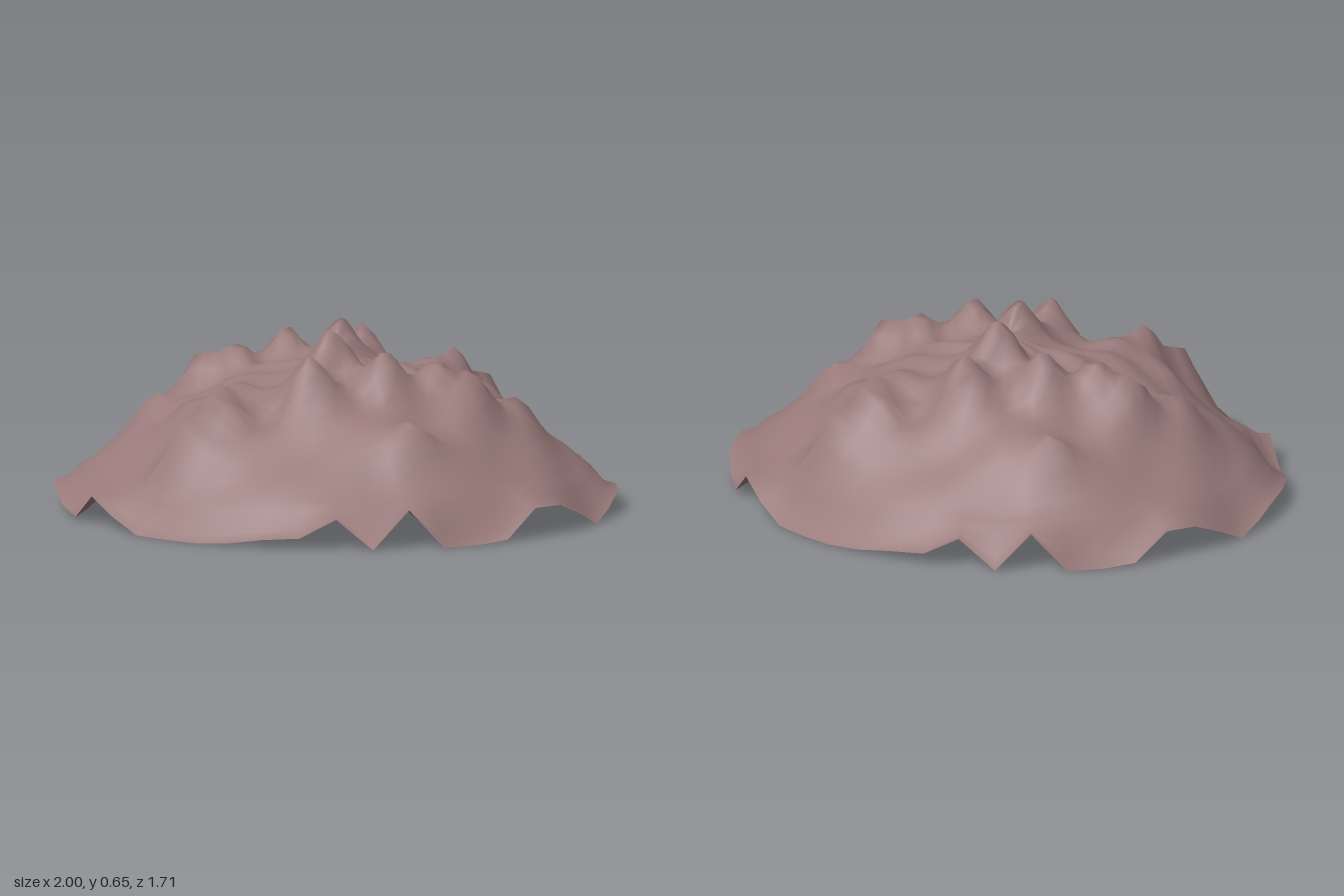
import * as THREE from 'three';

const SEGMENTS = 48, RINGS = 22, DEPTH = 0.857;

// Summits as [x, z, height]; each one repeats after a half turn
const PEAKS = [
  [0, -0.11, 0.655], [-0.2, -0.22, 0.59], [0.05, -0.32, 0.59], [-0.37, -0.11, 0.55],
  [-0.52, -0.1, 0.5], [0.3, -0.28, 0.49], [0.35, -0.43, 0.5], [0.46, -0.53, 0.38],
  [0.65, -0.07, 0.38], [0.5, -0.27, 0.41], [0.36, 0.5, 0.4],
];

// Height of the ragged hem over half a turn
const HEM = [0.065, 0.035, 0, 0.056, 0.105, 0.11, 0.01, 0, 0, 0.14, 0, 0.11,
  0.04, 0.03, 0.01, 0, 0, 0, 0.05, 0.105, 0.01, 0.03, 0.06, 0.065];

const dome = (r) => 0.03 + 0.49 * (1 - r * r);

// Smooth dome plus summits, swirling folds and the wavy hem
function heightAt(r, j) {
  const angle = (j / SEGMENTS) * Math.PI * 2;
  const x = r * Math.cos(angle), z = r * DEPTH * Math.sin(angle);
  let y = dome(r);
  for (const [px, pz, top] of PEAKS) {
    const rise = top - dome(Math.hypot(px, pz / DEPTH));
    for (const s of [1, -1]) {
      const d2 = (x - s * px) ** 2 + (z - s * pz) ** 2;
      y += rise * Math.exp(-d2 / 0.0055);
    }
  }
  y += 0.018 * Math.sin(6 * angle + 11 * r) * Math.sin(Math.PI * r);
  y += 0.012 * Math.sin(10 * angle - 17 * r) * Math.sin(Math.PI * r);
  // The last stretch stays lifted, then drops to the hem
  y += 0.06 * Math.exp(-(((r - 0.94) / 0.05) ** 2)) * (1 - THREE.MathUtils.smoothstep(r, 0.94, 1));
  const t = THREE.MathUtils.smoothstep(r, 0.8, 1);
  return THREE.MathUtils.lerp(y, HEM[j % HEM.length], t * t);
}

function moundGeometry() {
  const positions = [0, heightAt(0, 0), 0];
  const index = [];
  const at = (i, j) => (i === 0 ? 0 : 1 + (i - 1) * SEGMENTS + (j % SEGMENTS));
  for (let i = 1; i <= RINGS; i++) {
    const r = i / RINGS;
    for (let j = 0; j < SEGMENTS; j++) {
      const angle = (j / SEGMENTS) * Math.PI * 2;
      positions.push(r * Math.cos(angle), heightAt(r, j), r * DEPTH * Math.sin(angle));
    }
  }
  for (let i = 0; i < RINGS; i++) {
    for (let j = 0; j < SEGMENTS; j++) {
      const a = at(i, j), b = at(i + 1, j), c = at(i + 1, j + 1), d = at(i, j + 1);
      index.push(a, c, b);
      if (i > 0) index.push(a, d, c);
    }
  }
  const geometry = new THREE.BufferGeometry();
  geometry.setAttribute('position', new THREE.Float32BufferAttribute(positions, 3));
  geometry.setIndex(index);
  geometry.computeVertexNormals();
  return geometry;
}

export function createModel() {
  const group = new THREE.Group();
  group.name = 'rockyMound';
  // Open shell, hollow underneath
  const material = new THREE.MeshStandardMaterial({ color: 0x997a7a, side: THREE.DoubleSide });
  const mound = new THREE.Mesh(moundGeometry(), material);
  mound.name = 'moundSurface';
  group.add(mound);
  return group;
}
